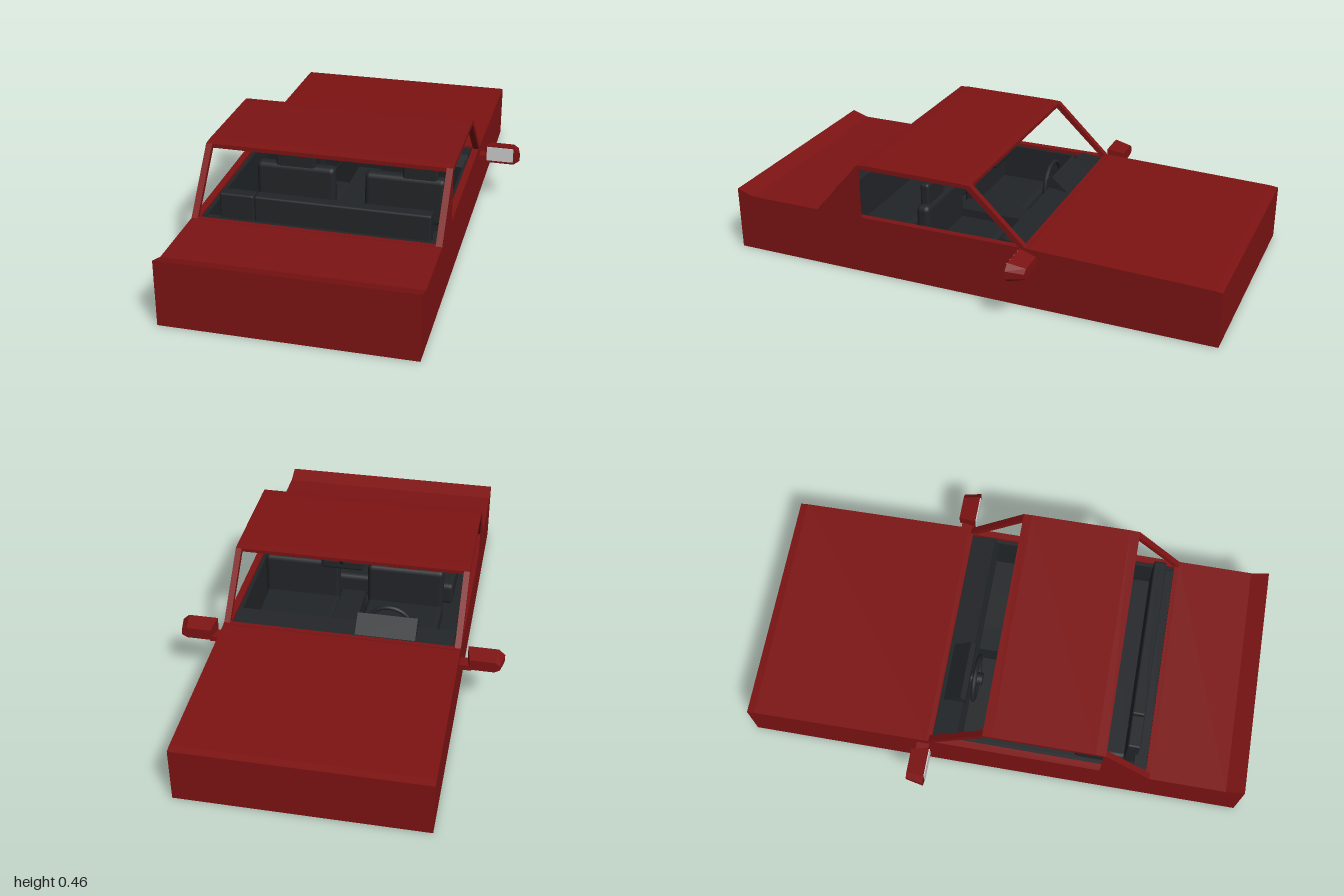
import * as THREE from 'three';
import { RoundedBoxGeometry } from 'three/addons/geometries/RoundedBoxGeometry.js';

const red = new THREE.MeshStandardMaterial({ color: 0x7d1313 });
const dark = new THREE.MeshStandardMaterial({ color: 0x222528 });
const black = new THREE.MeshStandardMaterial({ color: 0x0a0a0a });
const grey = new THREE.MeshStandardMaterial({ color: 0xcccccc });

export function createModel() {
  const car = new THREE.Group();
  car.name = 'car';

  const add = (name, geo, mat) => {
    const mesh = new THREE.Mesh(geo, mat);
    mesh.name = name;
    car.add(mesh);
    return mesh;
  };
  // side profile given as [z, y], extruded from x0 to x1
  const prism = (name, pts, x0, x1, mat = red) => {
    const shape = new THREE.Shape(pts.map(([z, y]) => new THREE.Vector2(-z, y)));
    const geo = new THREE.ExtrudeGeometry(shape, { depth: x1 - x0, bevelEnabled: false });
    return add(name, geo.rotateY(Math.PI / 2).translate(x0, 0, 0), mat);
  };
  // box given by its limits, with optional rounding
  const box = (name, [x0, x1], [y0, y1], [z0, z1], mat = dark, r = 0) => {
    const s = [x1 - x0, y1 - y0, z1 - z0];
    const geo = r ? new RoundedBoxGeometry(...s, 2, r) : new THREE.BoxGeometry(...s);
    return add(name, geo.translate((x0 + x1) / 2, (y0 + y1) / 2, (z0 + z1) / 2), mat);
  };

  const W = 0.472;

  // lower body: bonnet, boot with raised lip, underside
  prism('bonnet', [[-1, 0], [-1, 0.222], [-0.97, 0.226], [-0.26, 0.245], [-0.26, 0]], -W, W);
  prism('boot', [[0.625, 0], [0.625, 0.237], [0.93, 0.237], [1, 0.26], [1, 0]], -W, W);
  box('underside', [-W + 0.012, W - 0.012], [-0.001, 0.02], [-0.988, 0.988], black);
  box('cabinFloor', [-0.44, 0.44], [0.02, 0.04], [-0.26, 0.625]);

  // roof
  prism('roof', [[-0.035, 0.444], [-0.035, 0.458], [0.0, 0.46], [0.4, 0.463], [0.44, 0.46], [0.44, 0.444]], -W, W);

  for (const s of [-1, 1]) {
    const side = (name, pts, a, b, mat) =>
      prism(name, pts, Math.min(s * a, s * b), Math.max(s * a, s * b), mat);
    // sides and pillars
    side('bodySide', [[-0.26, 0], [-0.26, 0.245], [0.625, 0.237], [0.625, 0]], 0.445, W);
    side('doorCard', [[-0.25, 0.04], [-0.25, 0.23], [0.62, 0.23], [0.62, 0.04]], 0.43, 0.445, dark);
    side('frontPillar', [[-0.26, 0.243], [-0.035, 0.458], [-0.015, 0.446], [-0.232, 0.243]], 0.448, W);
    side('rearPillar', [[0.63, 0.236], [0.44, 0.46], [0.425, 0.446], [0.607, 0.236]], 0.448, W);

    // rear quarter panel, seen from outside only
    const tri = new THREE.BufferGeometry().setFromPoints([
      new THREE.Vector3(s * W, 0.236, 0.43),
      new THREE.Vector3(s * W, 0.455, 0.43),
      new THREE.Vector3(s * W, 0.236, 0.628),
    ]);
    tri.setIndex(s > 0 ? [0, 1, 2] : [0, 2, 1]);
    tri.computeVertexNormals();
    add('quarterPanel', tri, red);

    // door mirror: chamfered housing, stalk and glass
    const outline = [[0.5, 0.182], [0.618, 0.182], [0.643, 0.202], [0.643, 0.234], [0.618, 0.257], [0.5, 0.257]];
    const shape = new THREE.Shape(outline.map(([x, y]) => new THREE.Vector2(s * x, y)));
    const housing = new THREE.ExtrudeGeometry(shape, { depth: 0.07, bevelEnabled: false });
    const p = housing.attributes.position;
    for (let i = 0; i < p.count; i++) {
      if (p.getZ(i) > 0.01) continue;
      // narrow the leading face
      p.setX(i, s * 0.57 + (p.getX(i) - s * 0.57) * 0.82);
      p.setY(i, 0.222 + (p.getY(i) - 0.222) * 0.6);
    }
    housing.computeVertexNormals();
    add('doorMirrorHousing', housing.translate(0, 0, -0.317), red);
    const span = (a, b) => [Math.min(s * a, s * b), Math.max(s * a, s * b)];
    box('doorMirrorStalk', span(0.46, 0.52), [0.184, 0.206], [-0.305, -0.255], red);
    box('doorMirrorGlass', span(0.505, 0.615), [0.192, 0.252], [-0.25, -0.243], grey);
  }

  // window rails across the car
  box('windscreenSill', [-W, W], [0.225, 0.247], [-0.265, -0.245], red);
  box('rearWindowSill', [-W, W], [0.215, 0.238], [0.61, 0.63], red);

  // front seats with headrests
  for (const [x, headX, halfHead, top] of [[-0.19, -0.19, 0.08, 0.42], [0.25, 0.31, 0.07, 0.383]]) {
    box('frontSeatCushion', [x - 0.16, x + 0.16], [0.04, 0.13], [-0.04, 0.22], dark, 0.02);
    box('frontSeatBack', [x - 0.16, x + 0.16], [0.1, 0.3], [0.17, 0.225], dark, 0.02);
    box('headrest', [headX - halfHead, headX + halfHead], [0.28, top], [0.182, 0.22], dark, 0.012);
  }
  box('centreConsole', [-0.02, 0.08], [0.04, 0.15], [-0.2, 0.2]);

  // rear bench
  box('rearSeatCushion', [-0.38, 0.42], [0.04, 0.14], [0.32, 0.56], dark, 0.02);
  box('rearSeatBackNarrow', [-0.38, -0.247], [0.1, 0.325], [0.52, 0.572], dark, 0.008);
  box('rearSeatBackWide', [-0.245, 0.42], [0.1, 0.325], [0.52, 0.572], dark, 0.008);
  box('parcelShelf', [-0.44, 0.44], [0.2, 0.225], [0.56, 0.625]);

  // dashboard with instrument hood
  prism('dashboard', [[-0.26, 0.04], [-0.26, 0.235], [-0.15, 0.25], [-0.13, 0.2], [-0.16, 0.04]], -0.44, 0.44, dark);
  prism('instrumentHood', [[-0.235, 0.235], [-0.16, 0.297], [-0.14, 0.28], [-0.14, 0.235]], -0.29, -0.05, dark);

  // steering wheel
  const wheel = new THREE.Group();
  wheel.name = 'steeringWheel';
  wheel.position.set(-0.17, 0.215, -0.118);
  const rim = new THREE.Mesh(new THREE.TorusGeometry(0.09, 0.009, 8, 32), dark);
  rim.name = 'wheelRim';
  const hub = new THREE.Mesh(new THREE.CylinderGeometry(0.025, 0.025, 0.05, 16).rotateX(Math.PI / 2), dark);
  hub.name = 'wheelHub';
  wheel.add(rim, hub);
  for (const a of [0, Math.PI, -Math.PI / 2]) {
    const spoke = new THREE.Mesh(new THREE.BoxGeometry(0.09, 0.018, 0.008).translate(0.045, 0, 0), dark);
    spoke.name = 'wheelSpoke';
    spoke.rotation.z = a;
    wheel.add(spoke);
  }
  car.add(wheel);

  // interior mirror
  box('interiorMirrorHousing', [-0.04, 0.132], [0.378, 0.426], [0.005, 0.035], dark, 0.013);
  box('interiorMirrorGlass', [-0.036, 0.128], [0.381, 0.423], [0.012, 0.037], grey, 0.012);
  const stem = new THREE.LineCurve3(new THREE.Vector3(0.046, 0.41, 0.01), new THREE.Vector3(0.046, 0.447, -0.025));
  add('interiorMirrorStem', new THREE.TubeGeometry(stem, 1, 0.009, 8), dark);

  return car;
}
